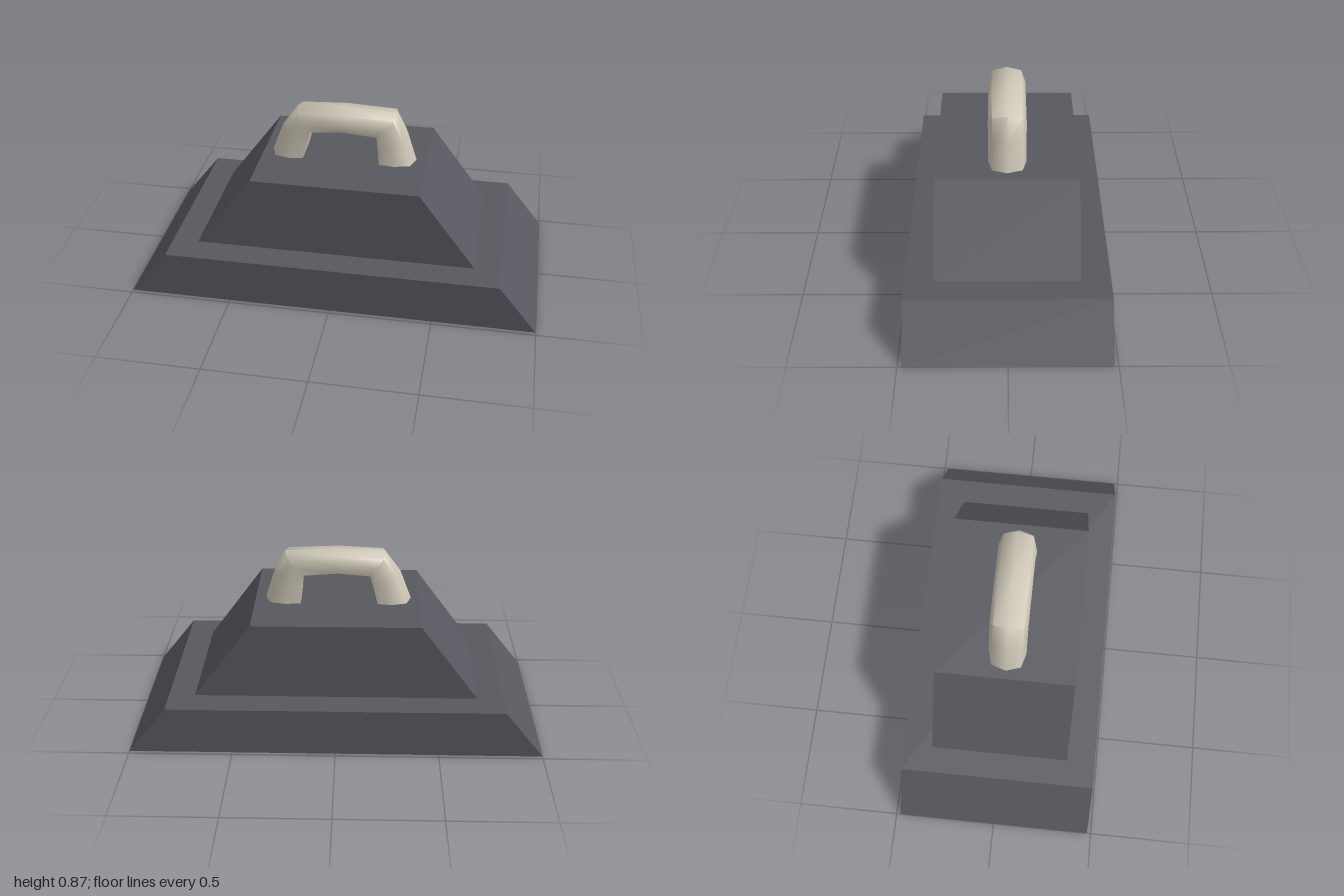
import * as THREE from 'three';
import { toCreasedNormals } from 'three/addons/utils/BufferGeometryUtils.js';

const slate = new THREE.MeshStandardMaterial({ color: 0x57575f });
slate.name = 'dark slate';
const ivory = new THREE.MeshStandardMaterial({ color: 0xcdc6b6 });
ivory.name = 'warm ivory';

// A block with sloping ends and upright front and back
function slopedBlock(name, bottom, top, y0, y1, halfDepth) {
  const shape = new THREE.Shape([
    new THREE.Vector2(-bottom, y0), new THREE.Vector2(bottom, y0),
    new THREE.Vector2(top, y1), new THREE.Vector2(-top, y1),
  ]);
  const geo = new THREE.ExtrudeGeometry(shape, { depth: halfDepth * 2, bevelEnabled: false });
  geo.translate(0, 0, -halfDepth);
  const mesh = new THREE.Mesh(geo, slate);
  mesh.name = name;
  return mesh;
}

// Arched handle: a rounded outer side and a flat inner side, lofted over stations
function handle() {
  // outer x, outer y, inner x, inner y
  const stations = [
    [-0.37, 0.6, -0.203, 0.6], [-0.31, 0.76, -0.178, 0.7], [-0.235, 0.863, -0.16, 0.763],
    [0, 0.874, 0, 0.776],
    [0.255, 0.863, 0.165, 0.763], [0.31, 0.76, 0.172, 0.7], [0.36, 0.6, 0.18, 0.6],
  ];
  // depth from outer to inner side, z
  const section = [[1, 0.082], [0.58, 0.092], [0.14, 0.072], [0, 0],
    [0.14, -0.072], [0.58, -0.092], [1, -0.082]];
  const n = section.length;
  const positions = [], index = [];
  for (const [ox, oy, ix, iy] of stations) {
    for (const [t, z] of section) positions.push(ox + (ix - ox) * t, oy + (iy - oy) * t, z);
  }
  for (let s = 0; s < stations.length - 1; s++) {
    for (let k = 0; k < n; k++) {
      const a = s * n + k, b = s * n + (k + 1) % n;
      index.push(a, a + n, b, b, a + n, b + n);
    }
  }
  const geo = new THREE.BufferGeometry();
  geo.setAttribute('position', new THREE.Float32BufferAttribute(positions, 3));
  geo.setIndex(index);
  const mesh = new THREE.Mesh(toCreasedNormals(geo, 1.12), ivory);
  mesh.name = 'handle';
  return mesh;
}

export function createModel() {
  const group = new THREE.Group();
  group.name = 'handledBlock';
  group.add(
    slopedBlock('base', 1, 0.813, 0, 0.236, 0.48),
    slopedBlock('upperBlock', 0.686, 0.406, 0.236, 0.615, 0.34),
    handle(),
  );
  return group;
}
